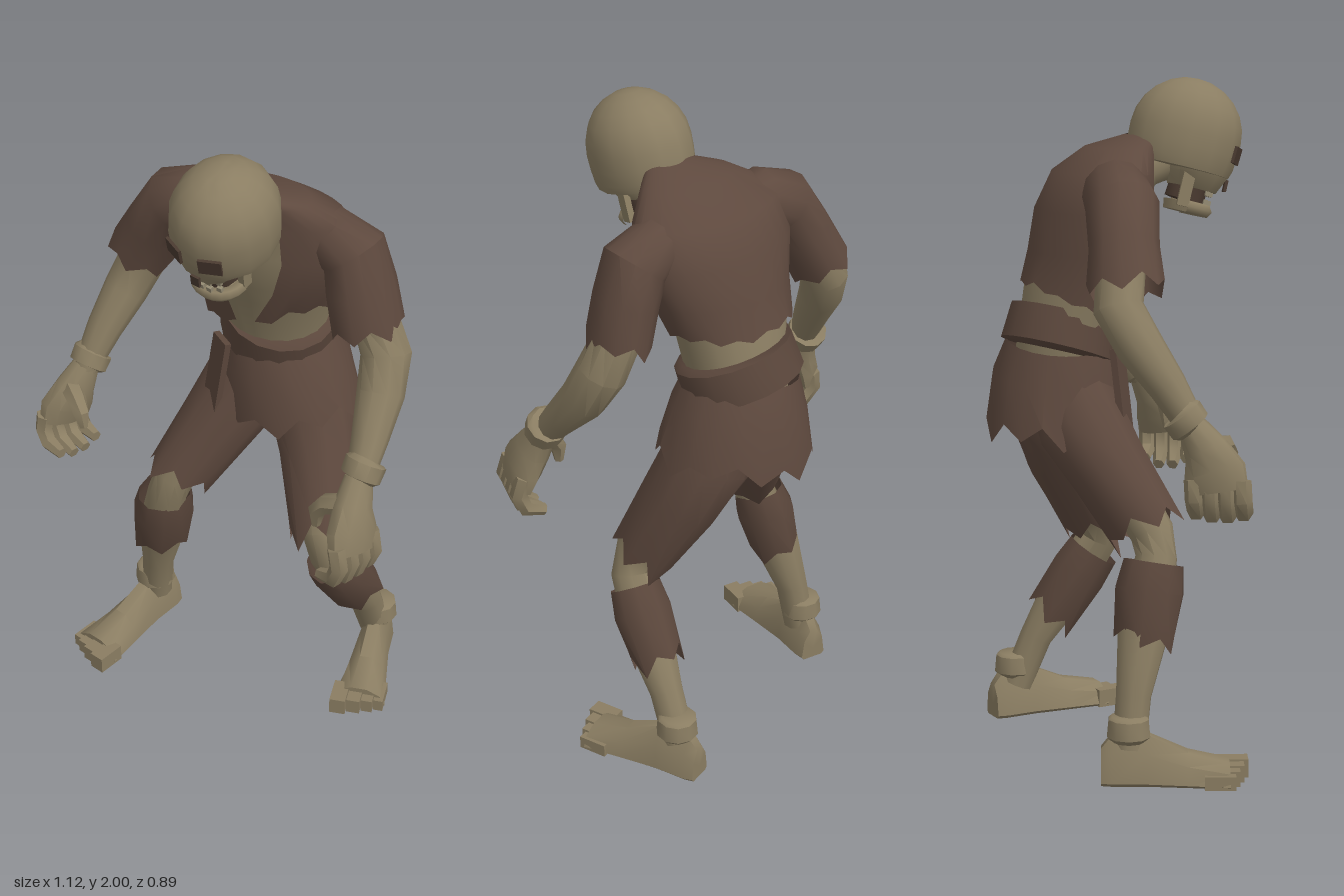
import * as THREE from 'three';
import { toCreasedNormals } from 'three/addons/utils/BufferGeometryUtils.js';

const V = (x, y, z) => new THREE.Vector3(x, y, z);
const JAG = [0, 0.6, 0.1, 1, 0.3, 0.8, 0, 0.5, 0.2, 0.9];

export function createModel() {
  const model = new THREE.Group();
  const paint = (name, color, side = THREE.FrontSide) => {
    const m = new THREE.MeshStandardMaterial({ color, side });
    m.name = name;
    return m;
  };
  const skin = paint('olive skin', 0x8a7d62);
  const cloth = paint('brown cloth', 0x5e493e, THREE.DoubleSide);
  const leather = paint('dark leather', 0x5a463b, THREE.DoubleSide);
  const dark = paint('socket shadow', 0x4a3a30);
  const tooth = paint('teeth', 0x938a72);

  const add = (name, geo, mat, parent = model) => {
    const mesh = new THREE.Mesh(geo, mat);
    mesh.name = name;
    parent.add(mesh);
    return mesh;
  };

  // Skin a list of rings; rings run counterclockwise about their direction of travel
  function loft(rings, { closed = true, caps = true, crease = 0.75 } = {}) {
    const n = rings[0].length, pos = [], idx = [];
    rings.forEach(r => r.forEach(p => pos.push(p.x, p.y, p.z)));
    for (let i = 0; i < rings.length - 1; i++)
      for (let j = 0; j < (closed ? n : n - 1); j++) {
        const a = i * n + j, b = i * n + (j + 1) % n;
        idx.push(a, b, a + n, b, b + n, a + n);
      }
    if (caps) [0, rings.length - 1].forEach((ri, end) => {
      const c = rings[ri].reduce((s, p) => s.add(p), V(0, 0, 0)).divideScalar(n);
      const ci = pos.length / 3;
      pos.push(c.x, c.y, c.z);
      for (let j = 0; j < n; j++) {
        const a = ri * n + j, b = ri * n + (j + 1) % n;
        if (end) idx.push(ci, a, b); else idx.push(ci, b, a);
      }
    });
    const g = new THREE.BufferGeometry();
    g.setAttribute('position', new THREE.Float32BufferAttribute(pos, 3));
    g.setIndex(idx);
    g.computeVertexNormals();
    return toCreasedNormals(g, crease);
  }

  // Tube through stations [x, y, z, radius, second radius], with an optional ragged end
  function limb(st, { n = 10, ref = V(1, 0, 0), jag = 0, caps = true } = {}) {
    const p = st.map(s => V(s[0], s[1], s[2]));
    const rings = st.map((s, i) => {
      const T = p[Math.min(i + 1, p.length - 1)].clone().sub(p[Math.max(i - 1, 0)]).normalize();
      const U = ref.clone().addScaledVector(T, -ref.dot(T)).normalize();
      const W = T.clone().cross(U);
      return Array.from({ length: n }, (_, j) => {
        const a = j / n * Math.PI * 2;
        const q = p[i].clone().addScaledVector(U, s[3] * Math.cos(a)).addScaledVector(W, (s[4] ?? s[3]) * Math.sin(a));
        return jag && i === st.length - 1 ? q.addScaledVector(T, jag * JAG[j % 10]) : q;
      });
    });
    return loft(rings, { caps });
  }

  // Torso, turned toward the model's left: [x, y, z, half width, half depth, opening from, to]
  const yaw = 0.4;
  const torso = [
    [0.04, 1.835, 0.07, 0.055, 0.045, 60, 125], [0.0, 1.8, 0.01, 0.15, 0.095, 62, 124],
    [-0.04, 1.73, -0.035, 0.25, 0.135, 64, 121], [-0.05, 1.62, -0.06, 0.258, 0.163, 63, 117],
    [-0.06, 1.5, -0.08, 0.225, 0.165, 68, 109], [-0.08, 1.42, -0.11, 0.2, 0.158, 84, 101],
    [-0.1, 1.18, -0.15, 0.16, 0.15]];
  const torsoRing = (s, k, a) => V(
    s[0] + k * (s[3] * Math.cos(a) * Math.cos(yaw) + s[4] * Math.sin(a) * Math.sin(yaw)), s[1],
    s[2] + k * (s[4] * Math.sin(a) * Math.cos(yaw) - s[3] * Math.cos(a) * Math.sin(yaw)));
  add('torso', loft(torso.slice(1).map(s =>
    Array.from({ length: 20 }, (_, j) => torsoRing(s, 0.92, j / 10 * Math.PI)))), skin);

  // Shirt open at the chest, its torn hem hanging lowest on the right
  add('shirt', loft(torso.slice(0, 6).map((s, i) => Array.from({ length: 25 }, (_, j) => {
    const a = THREE.MathUtils.degToRad(s[6] + (360 + s[5] - s[6]) * j / 24);
    const q = torsoRing(s, 1.03, a);
    if (i === 5) q.y -= 0.085 * Math.max(0, Math.cos(a - 2.5)) + 0.025 * JAG[j % 10];
    return q;
  })), { closed: false, caps: false }), cloth);

  // Sleeves
  const sleeve = { jag: 0.06, n: 12, caps: false, ref: V(0, 0, 1) };
  add('rightSleeve', limb([[-0.14, 1.68, 0.0, 0.07], [-0.23, 1.68, 0.03, 0.098], [-0.31, 1.65, 0.06, 0.105, 0.1],
    [-0.385, 1.54, 0.075, 0.1, 0.092], [-0.435, 1.45, 0.085, 0.11, 0.095]], sleeve), cloth);
  add('leftSleeve', limb([[0.08, 1.66, -0.1, 0.07], [0.15, 1.67, -0.125, 0.088], [0.22, 1.64, -0.15, 0.1, 0.098],
    [0.25, 1.54, -0.155, 0.11, 0.093], [0.272, 1.44, -0.16, 0.115, 0.092]], sleeve), cloth);

  // Arms
  add('rightArm', limb([[-0.33, 1.64, 0.06, 0.07], [-0.42, 1.47, 0.07, 0.07], [-0.465, 1.38, 0.07, 0.072],
    [-0.482, 1.28, 0.13, 0.068], [-0.49, 1.17, 0.21, 0.055], [-0.495, 1.05, 0.285, 0.04]]), skin);
  add('leftArm', limb([[0.235, 1.64, -0.15, 0.07], [0.28, 1.45, -0.18, 0.07], [0.335, 1.34, -0.18, 0.075],
    [0.37, 1.24, -0.13, 0.07], [0.415, 1.14, -0.05, 0.054], [0.45, 1.05, 0.02, 0.04]]), skin);

  // Hands with curled fingers and a wrist wrap
  function hand(name, s, x, y, z, k, roll) {
    const g = new THREE.Group();
    g.name = name;
    g.position.set(x, y, z);
    g.rotation.z = roll;
    model.add(g);
    const m = st => st.map(([a, b, c, ...r]) => [a * s, b * k, c, ...r]);
    add('wristWrap', limb(m([[-0.005, 0.055, -0.035, 0.05], [-0.004, 0.05, -0.03, 0.062],
      [0, 0.01, -0.005, 0.06], [0, 0.005, 0, 0.045]])), skin, g);
    add('palm', limb(m([[0, 0.01, 0, 0.042], [0.02, -0.06, 0.04, 0.052, 0.065],
      [0.045, -0.12, 0.065, 0.052, 0.09], [0.062, -0.18, 0.075, 0.04, 0.088]])), skin, g);
    for (let i = 0; i < 4; i++) {
      const c = 0.008 + i * 0.044, l = i % 3 ? 0.02 : 0;
      add('finger', limb(m([[0.062, -0.14, c, 0.028], [0.08, -0.2, c + 0.004, 0.028],
        [0.06, -0.25 - l / 2, c + 0.006, 0.027], [0.0, -0.27 - l, c + 0.006, 0.018]]), { n: 6, ref: V(0, 0, 1) }), skin, g);
    }
    add('thumb', limb(m([[0.015, -0.05, 0.06, 0.034], [-0.045, -0.07, 0.085, 0.031],
      [-0.074, -0.11, 0.095, 0.026], [-0.075, -0.16, 0.095, 0.014]]), { n: 6, ref: V(0, 0, 1) }), skin, g);
  }
  hand('rightHand', -1, -0.495, 1.05, 0.28, 0.88, 0.2);
  hand('leftHand', 1, 0.45, 1.05, 0.02, 1, 0);

  // Belt, torn skirt and hanging strap
  add('belt', limb([[-0.079, 1.315, -0.139, 0.16, 0.145], [-0.08, 1.31, -0.14, 0.18, 0.165],
    [-0.107, 1.21, -0.16, 0.185, 0.172], [-0.108, 1.205, -0.161, 0.16, 0.15]], { n: 16 }), leather);
  add('skirt', limb([[-0.105, 1.24, -0.155, 0.17, 0.155], [-0.09, 1.14, -0.165, 0.205, 0.19],
    [-0.08, 1.03, -0.17, 0.238, 0.205]], { n: 20, jag: 0.08, caps: false }), cloth);
  const strap = add('strap', new THREE.BoxGeometry(0.075, 0.27, 0.02), leather);
  strap.position.set(-0.165, 1.09, 0.04);
  strap.rotation.set(-0.14, -0.2, -0.08);

  // Trousers
  add('rightTrouser', limb([[-0.14, 1.12, -0.13, 0.12], [-0.17, 1.0, -0.08, 0.135], [-0.205, 0.87, 0.01, 0.12],
    [-0.24, 0.74, 0.1, 0.098, 0.11]], { jag: 0.08, n: 12, caps: false }), cloth);
  add('leftTrouser', limb([[-0.03, 1.12, -0.18, 0.12], [0.01, 1.0, -0.19, 0.135], [0.085, 0.86, -0.16, 0.12, 0.13],
    [0.165, 0.68, -0.1, 0.098, 0.105]], { jag: 0.1, n: 12, caps: false }), cloth);

  // Lower legs and torn shin wraps
  add('rightLeg', limb([[-0.22, 0.82, 0.06, 0.07], [-0.255, 0.7, 0.14, 0.065], [-0.275, 0.63, 0.155, 0.062],
    [-0.35, 0.42, 0.125, 0.075], [-0.4, 0.25, 0.105, 0.052], [-0.425, 0.1, 0.095, 0.05]]), skin);
  add('leftLeg', limb([[0.13, 0.78, -0.13, 0.07], [0.195, 0.65, -0.08, 0.07], [0.22, 0.57, -0.085, 0.065],
    [0.205, 0.4, -0.19, 0.075], [0.185, 0.25, -0.28, 0.052], [0.168, 0.1, -0.34, 0.05]]), skin);
  add('rightShinWrap', limb([[-0.295, 0.62, 0.15, 0.075, 0.09], [-0.315, 0.54, 0.14, 0.092, 0.102],
    [-0.34, 0.43, 0.13, 0.08, 0.09]], { jag: 0.06, caps: false }), leather);
  add('leftShinWrap', limb([[0.215, 0.53, -0.1, 0.08, 0.085], [0.208, 0.46, -0.145, 0.092],
    [0.195, 0.36, -0.21, 0.08, 0.085]], { jag: 0.08, caps: false }), leather);

  // Feet with separate toes and an ankle wrap
  function foot(name, x, z, turn, s) {
    const g = new THREE.Group();
    g.name = name;
    g.position.set(x, 0, z);
    g.rotation.y = turn;
    model.add(g);
    const sections = [[-0.08, 0.042, 0.1], [-0.05, 0.05, 0.14], [0.05, 0.052, 0.145], [0.17, 0.068, 0.088], [0.29, 0.085, 0.058]];
    add('sole', loft(sections.map(([c, w, h]) => Array.from({ length: 10 }, (_, j) => {
      const a = j / 5 * Math.PI;
      return V(w * Math.cos(a), 0.01 + Math.max(-0.01, h * Math.sin(a)), c);
    }))), skin, g);
    [0.05, 0.042, 0.036, 0.03].forEach((w, i) => {
      const toe = add('toe', new THREE.BoxGeometry(w, 0.055 - i * 0.005, 0.09), skin, g);
      toe.position.set(s * [-0.058, -0.01, 0.031, 0.066][i], 0.0275 - i * 0.0025, 0.303 - i * 0.014);
    });
    add('ankleWrap', limb([[0, 0.2, 0, 0.05], [0, 0.192, 0, 0.06], [0, 0.14, 0, 0.065], [0, 0.125, 0, 0.05]]), skin, g);
  }
  foot('rightFoot', -0.432, 0.095, 0.15, -1);
  foot('leftFoot', 0.175, -0.345, 0.63, 1);

  // Neck
  add('neck', limb([[0.08, 1.77, 0.17, 0.06], [0.035, 1.74, 0.08, 0.065], [-0.01, 1.66, -0.01, 0.09]]), skin);

  // Head, bowed forward and leaning
  const head = new THREE.Group();
  head.name = 'head';
  head.position.set(0.075, 1.837, 0.198);
  head.rotation.set(0.25, 0.22, -0.15);
  model.add(head);
  // Skull with straight sides below its widest line
  const skull = new THREE.SphereGeometry(1, 14, 12).scale(0.15, 0.163, 0.168);
  const sp = skull.attributes.position;
  for (let i = 0; i < sp.count; i++) {
    const y = sp.getY(i), t = THREE.MathUtils.clamp(-y / 0.163, 0, 0.71);
    const f = (1 - t * t) ** -0.38;
    sp.setXYZ(i, sp.getX(i) * f, Math.max(y, -0.105), sp.getZ(i) * f);
  }
  skull.computeVertexNormals();
  add('skull', toCreasedNormals(skull, 0.6), skin, head);
  add('face', limb([[0, -0.05, 0.05, 0.115, 0.1], [0, -0.11, 0.055, 0.098, 0.098], [0, -0.155, 0.055, 0.065, 0.075]]), skin, head);
  add('mouth', limb([[0, -0.14, 0.045, 0.055, 0.06], [0, -0.195, 0.04, 0.055, 0.06]]), dark, head);
  const jaw = add('jaw', new THREE.TorusGeometry(0.066, 0.02, 6, 10, Math.PI), skin, head);
  jaw.position.set(0, -0.212, 0.045);
  jaw.rotation.x = Math.PI / 2;
  add('chin', limb([[0, -0.2, 0.04, 0.06, 0.06], [0, -0.228, 0.04, 0.05, 0.055]]), skin, head);
  for (const s of [-1, 1]) {
    const eye = add('eyeSocket', new THREE.BoxGeometry(0.066, 0.05, 0.009), dark, head);
    eye.position.set(s * 0.06, -0.035, 0.155);
    eye.rotation.set(0.05, s * 0.38, 0);
    const cheek = add('jawHinge', new THREE.BoxGeometry(0.02, 0.11, 0.035), skin, head);
    cheek.position.set(s * 0.072, -0.16, 0.03);
    for (let i = 0; i < 2; i++) for (const y of [-0.155, -0.193]) {
      const t = add('tooth', new THREE.BoxGeometry(0.016, 0.026, 0.012), tooth, head);
      t.position.set(s * (0.013 + i * 0.025), y, 0.113 - i * 0.014);
    }
  }
  const nose = add('noseHole', new THREE.BoxGeometry(0.028, 0.035, 0.009), dark, head);
  nose.position.set(0, -0.125, 0.152);

  return model;
}
